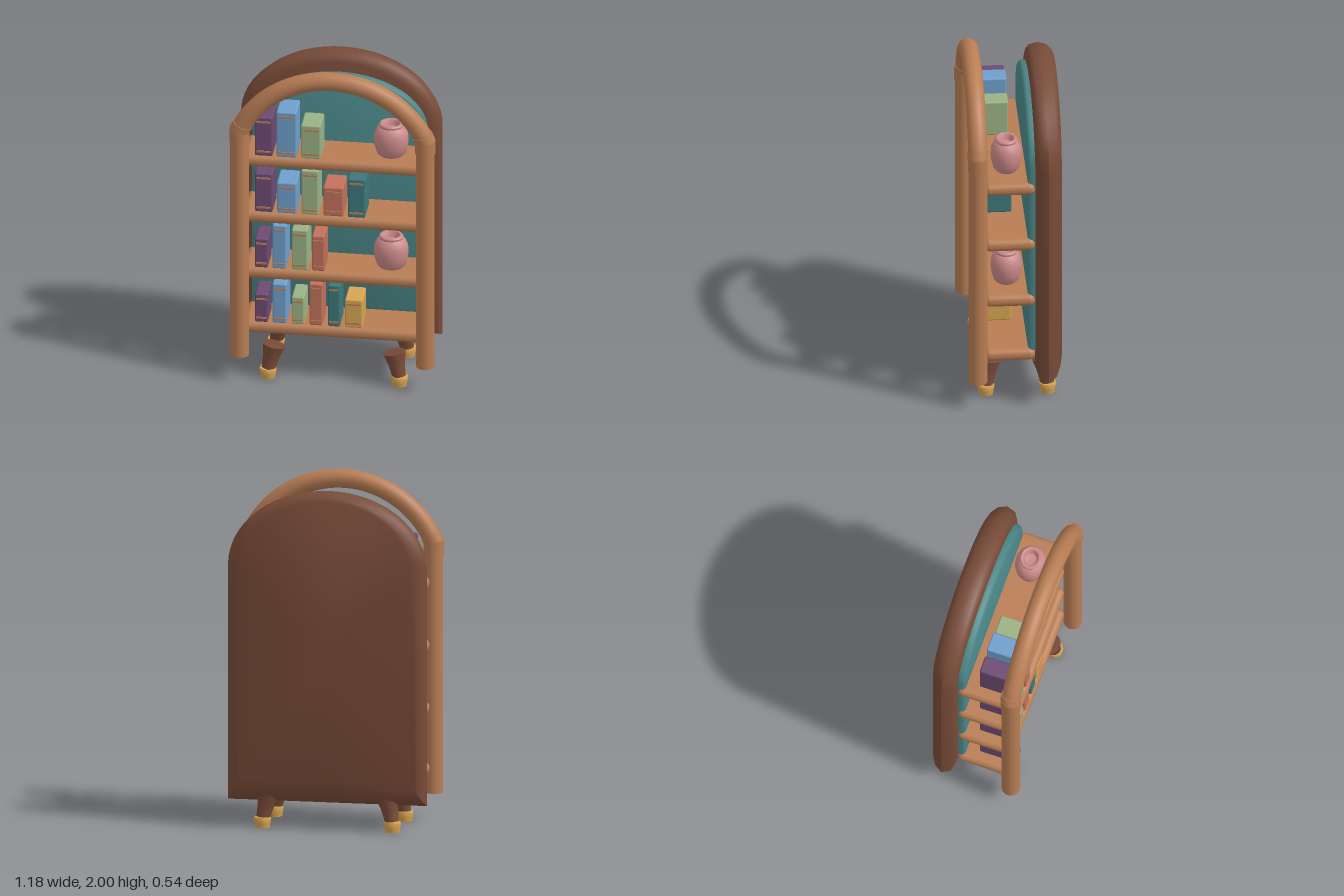
import * as THREE from 'three';
import { toCreasedNormals } from 'three/addons/utils/BufferGeometryUtils.js';
import { RoundedBoxGeometry } from 'three/addons/geometries/RoundedBoxGeometry.js';

const material = (name, color) => {
  const m = new THREE.MeshStandardMaterial({ color });
  m.name = name;
  return m;
};

// Arched outline, counter-clockwise seen from the front
function archOutline(halfWidth, bottom, spring, top) {
  const pts = [[-halfWidth, bottom], [0, bottom], [halfWidth, bottom]];
  const n = 32;
  for (let i = 0; i <= n; i++) {
    const a = (i / n) * Math.PI;
    pts.push([halfWidth * Math.cos(a), spring + (top - spring) * Math.sin(a)]);
  }
  return pts;
}

// Closed solid lofted through arched rings, ordered from back to front
function archedPanel(rings) {
  const position = [], index = [];
  let n = 0;
  for (const r of rings) {
    const outline = archOutline(r.w, r.bottom, r.spring, r.top);
    n = outline.length;
    for (const [x, y] of outline) position.push(x, y, r.z);
  }
  const last = rings.length - 1;
  for (let i = 0; i < last; i++) {
    for (let j = 0; j < n; j++) {
      const a = i * n + j, b = i * n + (j + 1) % n;
      index.push(a, b, b + n, a, b + n, a + n);
    }
  }
  const centre = position.length / 3;
  position.push(0, 1, rings[0].z, 0, 1, rings[last].z);
  for (let j = 0; j < n; j++) {
    const k = (j + 1) % n;
    index.push(centre, k, j, centre + 1, last * n + j, last * n + k);
  }
  const g = new THREE.BufferGeometry();
  g.setAttribute('position', new THREE.Float32BufferAttribute(position, 3));
  g.setIndex(index);
  return toCreasedNormals(g, 0.7);
}

const lathe = (profile, segments) => toCreasedNormals(
  new THREE.LatheGeometry(profile.map(([x, y]) => new THREE.Vector2(x, y)), segments), 0.7);

export function createModel() {
  const model = new THREE.Group();
  model.name = 'bookcase';
  const wood = material('warm wood', 0xb87d54);
  const darkWood = material('dark wood', 0x784b38);
  const teal = material('teal panel', 0x4a8688);
  const gold = material('gold', 0xd6a450);
  const pink = material('pink ceramic', 0xcb8a8a);
  const covers = {
    purple: material('purple cover', 0x6c4a73),
    blue: material('blue cover', 0x6f9fcb),
    green: material('green cover', 0x9ab184),
    red: material('red cover', 0xc2705a),
    teal: material('teal cover', 0x3d777a),
    gold,
  };

  const add = (name, geometry, mat, x = 0, y = 0, z = 0, parent = model) => {
    const mesh = new THREE.Mesh(geometry, mat);
    mesh.name = name;
    mesh.position.set(x, y, z);
    parent.add(mesh);
    return mesh;
  };

  // Back board with a deep soft bevel, widest at mid thickness
  const boardRings = [[-0.268, 1], [-0.258, 0.62], [-0.235, 0.24], [-0.19, 0],
    [-0.142, 0.18], [-0.122, 0.55], [-0.115, 1]];
  add('backBoard', archedPanel(boardRings.map(([z, inset]) => ({
    z, w: 0.575 - 0.085 * inset, bottom: 0.155 + 0.135 * inset,
    spring: 1.5, top: 1.945 - 0.045 * inset,
  }))), darkWood);

  // Teal lining in front of the board
  const liningRings = [[-0.118, 0], [-0.092, 0], [-0.08, 0.007], [-0.075, 0.02]];
  add('backLining', archedPanel(liningRings.map(([z, inset]) => ({
    z, w: 0.5 - inset, bottom: 0.335 + inset, spring: 1.5, top: 1.837 - inset,
  }))), teal);

  // Front posts and collars
  const postX = 0.53, frameZ = 0.21;
  const archRadius = 0.58, archY = 1.365, archStart = 0.417;
  for (const side of [-1, 1]) {
    add('post', new THREE.CylinderGeometry(0.053, 0.053, 1.43, 24), wood, side * postX, 0.875, frameZ);
    add('postCollar', new THREE.CylinderGeometry(0.058, 0.058, 0.075, 24), wood, side * postX, 1.565, frameZ);
    add('collarJoint', new THREE.SphereGeometry(0.058, 24, 16), wood, side * postX, 1.6, frameZ);
    const sleeve = add('archCollar', new THREE.CylinderGeometry(0.058, 0.058, 0.045, 24), wood,
      side * (postX - 0.008), 1.618, frameZ);
    sleeve.rotation.z = side * archStart;
  }

  // Front arch, a circular arc of round rail
  const arc = Math.PI - 2 * archStart;
  const arch = add('frontArch', new THREE.TorusGeometry(archRadius, 0.054, 20, 56, arc), wood, 0, archY, frameZ);
  arch.rotation.z = archStart;

  // Shelves
  const shelfTops = [0.345, 0.695, 1.053, 1.412];
  for (const top of shelfTops) {
    add('shelf', new RoundedBoxGeometry(1.04, 0.073, 0.29, 4, 0.034), wood, 0, top - 0.0365, 0.027);
  }

  // Books per shelf: colour, left edge, right edge, top
  const books = [
    [['purple', -0.45, -0.375, 0.525], ['blue', -0.35, -0.268, 0.597], ['green', -0.24, -0.168, 0.52],
      ['red', -0.14, -0.064, 0.612], ['teal', -0.034, 0.036, 0.61], ['gold', 0.064, 0.164, 0.525]],
    [['purple', -0.45, -0.375, 0.88], ['blue', -0.35, -0.27, 0.972], ['green', -0.24, -0.148, 0.95],
      ['red', -0.124, -0.052, 0.92]],
    [['purple', -0.45, -0.348, 1.3], ['blue', -0.325, -0.212, 1.248], ['green', -0.185, -0.087, 1.335],
      ['red', -0.06, 0.055, 1.237], ['teal', 0.08, 0.18, 1.3]],
    [['purple', -0.45, -0.348, 1.66], ['blue', -0.327, -0.212, 1.7], ['green', -0.187, -0.074, 1.625]],
  ];
  const bookZ = 0.077, bookDepth = 0.166;
  books.forEach((row, i) => {
    for (const [cover, left, right, top] of row) {
      const w = right - left, h = top - shelfTops[i];
      const book = new THREE.Group();
      book.name = cover + 'Book';
      book.position.set((left + right) / 2, shelfTops[i] + h / 2, bookZ);
      model.add(book);
      add('cover', new RoundedBoxGeometry(w, h, bookDepth, 2, 0.01), covers[cover], 0, 0, 0, book);
      // Thin bands across the spine
      for (const y of [h / 2 - 0.03, -h / 2 + 0.03]) {
        add('spineBand', new THREE.BoxGeometry(w * 0.78, 0.01, 0.008), wood, 0, y, bookDepth / 2 + 0.001, book);
      }
    }
  });

  // Vases
  const vaseShape = lathe([[0, 0], [0.068, 0], [0.082, 0.015], [0.095, 0.06], [0.099, 0.1], [0.096, 0.135],
    [0.082, 0.168], [0.068, 0.18], [0.07, 0.192], [0.062, 0.2], [0.05, 0.198], [0.042, 0.185],
    [0.036, 0.165], [0, 0.16]], 24);
  for (const i of [1, 3]) {
    add('vase', vaseShape, pink, 0.312, shelfTops[i], 0.035).scale.z = 0.89;
  }

  // Splayed feet with gold tips
  const legShape = lathe([[0, 0], [0.04, 0], [0.042, 0.03], [0.048, 0.075], [0.058, 0.115],
    [0.066, 0.145], [0, 0.145]], 20);
  const tipShape = lathe([[0, 0], [0.042, 0], [0.045, 0.025], [0.05, 0.05], [0.046, 0.06], [0, 0.06]], 20);
  for (const x of [-1, 1]) {
    for (const z of [-1, 1]) {
      const leg = add('leg', legShape, darkWood, x * 0.372, 0.055, -0.02 + z * 0.173);
      leg.rotation.set(-z * 0.13, 0, x * 0.2);
      add('footTip', tipShape, gold, x * 0.375, 0, -0.02 + z * 0.175);
    }
  }
  return model;
}
